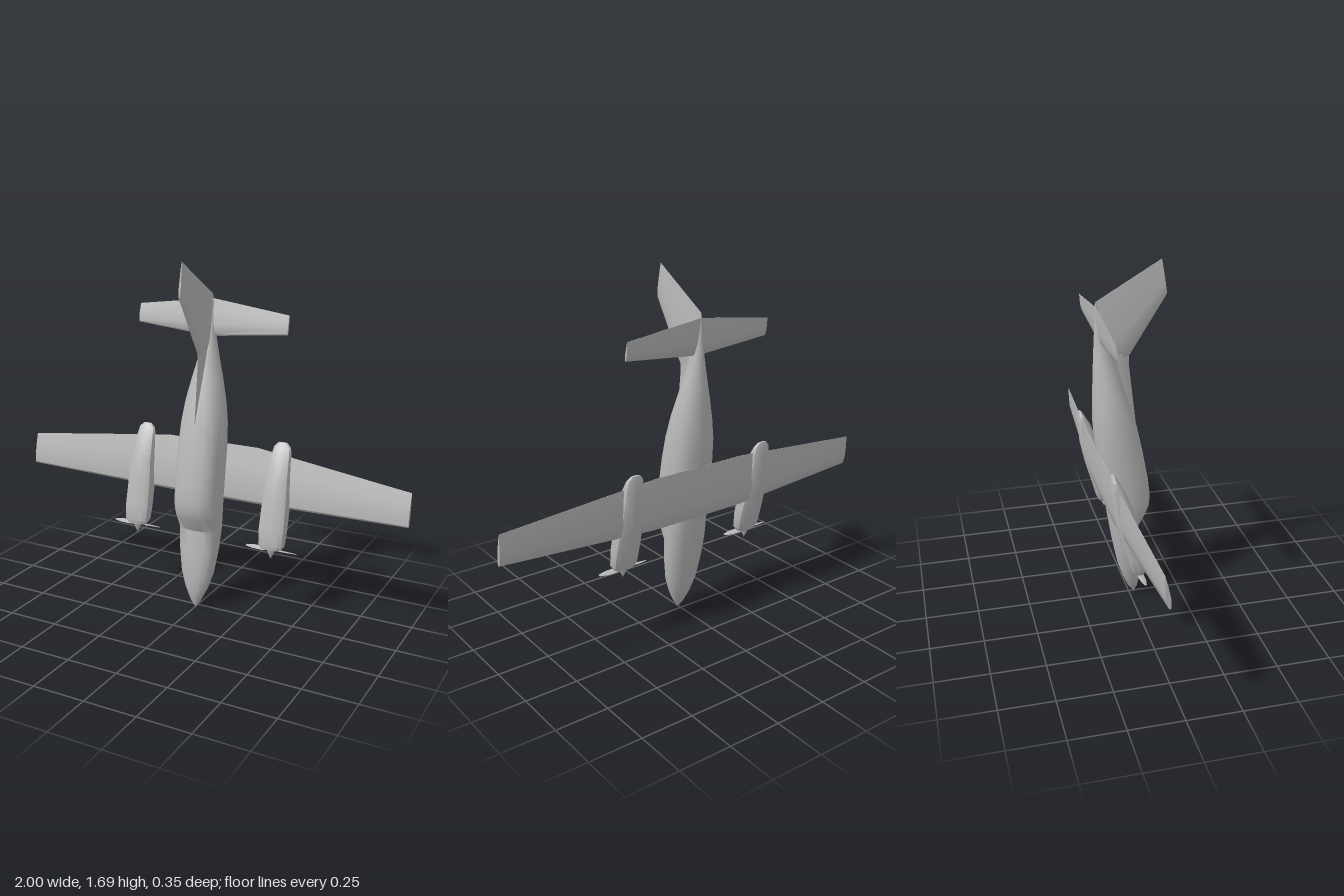
import * as THREE from 'three';
import { toCreasedNormals } from 'three/addons/utils/BufferGeometryUtils.js';

const paint = new THREE.MeshStandardMaterial({ color: 0xb8b8b8 });
paint.name = 'light grey';

// Skin a list of rings (arrays of [x, y, z]), close both ends and face outwards
function loft(rings, crease = 0.6) {
  const n = rings[0].length;
  const tris = [];
  const mid = (r) => [0, 1, 2].map((k) => r.reduce((s, p) => s + p[k], 0) / n);
  for (let i = 0; i < rings.length - 1; i++) {
    for (let j = 0; j < n; j++) {
      const k = (j + 1) % n;
      const [a, b, c, d] = [rings[i][j], rings[i][k], rings[i + 1][k], rings[i + 1][j]];
      tris.push([a, b, c], [a, c, d]);
    }
  }
  const first = rings[0], last = rings[rings.length - 1];
  const m0 = mid(first), m1 = mid(last);
  for (let j = 0; j < n; j++) {
    const k = (j + 1) % n;
    tris.push([m0, first[k], first[j]], [m1, last[j], last[k]]);
  }
  // Signed volume about the first cap tells which way the faces turn
  let volume = 0;
  const v = (p) => new THREE.Vector3(...p).sub(new THREE.Vector3(...m0));
  for (const [a, b, c] of tris) volume += v(a).dot(v(b).cross(v(c)));
  if (volume < 0) tris.forEach((t) => t.reverse());
  const geo = new THREE.BufferGeometry();
  geo.setAttribute('position', new THREE.Float32BufferAttribute(tris.flat(2), 3));
  return toCreasedNormals(geo, crease);
}

// Rounded body section: height y, half width, top z, bottom z, squareness
function bodyRing([y, w, top, bottom, power], cx = 0, sides = 16) {
  const cz = (top + bottom) / 2, h = (top - bottom) / 2;
  const bend = (t) => Math.sign(t) * Math.abs(t) ** (2 / power);
  return Array.from({ length: sides }, (_, i) => {
    const a = (i / sides) * Math.PI * 2;
    return [cx + w * bend(Math.cos(a)), y, cz + h * bend(Math.sin(a))];
  });
}

// Airfoil: [fraction of chord, fraction of half thickness]
const AIRFOIL = [[0, 0], [0.05, 0.6], [0.3, 1], [0.65, 0.65], [1, 0.05],
  [1, -0.05], [0.65, -0.65], [0.3, -1], [0.05, -0.6]];

// Flat-lying wing section
const wingRing = ([x, yLead, yTrail, zLead, zTrail, thick]) => AIRFOIL.map(([c, t]) => [
  x, yLead + (yTrail - yLead) * c, zLead + (zTrail - zLead) * c + (t * thick) / 2]);

// Upright fin section
const finRing = ([yLead, zLead, yTrail, zTrail, thick]) => AIRFOIL.map(([c, t]) => [
  (t * thick) / 2, yLead + (yTrail - yLead) * c, zLead + (zTrail - zLead) * c]);

function part(name, geometry) {
  const mesh = new THREE.Mesh(geometry, paint);
  mesh.name = name;
  return mesh;
}

// Mirror half-span sections into a full span
const span = (half) => [
  ...half.slice().reverse().map(([x, ...rest]) => [-x, ...rest]), ...half].map(wingRing);

// Engine pod with its spinner and two-bladed propeller
function createEngine(side) {
  const engine = new THREE.Group();
  engine.name = side > 0 ? 'leftEngine' : 'rightEngine';
  const cx = side * 0.364;
  const sections = [
    [0.355, 0.05, -0.018, -0.075, 2.6],
    [0.375, 0.064, -0.014, -0.085, 3],
    [0.45, 0.068, -0.022, -0.105, 3],
    [0.58, 0.065, -0.048, -0.142, 3],
    [0.68, 0.058, -0.07, -0.163, 3],
    [0.78, 0.05, -0.112, -0.17, 2.8],
    [0.825, 0.042, -0.138, -0.169, 2.6],
    [0.845, 0.022, -0.152, -0.165, 2.4],
  ];
  engine.add(part('nacelle', loft(sections.map((s) => bodyRing(s, cx, 12)))));

  const spinner = part('spinner', toCreasedNormals(
    new THREE.LatheGeometry([[0, -0.055], [0.012, -0.03], [0.023, 0], [0.024, 0.012], [0, 0.012]]
      .map(([r, y]) => new THREE.Vector2(r, y)), 10), 0.7));
  spinner.position.set(cx, 0.36, -0.043);
  engine.add(spinner);

  for (const dir of [-1, 1]) {
    const rings = [[0, 0.008, 0.008], [0.04, 0.016, 0.008], [0.09, 0.015, 0.006], [0.128, 0.006, 0.003]]
      .map(([r, chord, thick]) => [[chord, 0], [0, thick], [-chord, 0], [0, -thick]]
        .map(([z, y]) => [cx + dir * r, 0.352 + y * 0.6 + dir * z * 0.25, -0.043 + z]));
    engine.add(part('propellerBlade', loft(rings)));
  }
  return engine;
}

export function createModel() {
  const plane = new THREE.Group();
  plane.name = 'airplane';

  // Fuselage from nose (bottom) to tail (top), with a stepped windscreen
  const fuselage = [
    [0.005, 0.002, 0.027, 0.023, 2],
    [0.04, 0.026, 0.042, -0.003, 2.1],
    [0.1, 0.055, 0.052, -0.03, 2.2],
    [0.18, 0.08, 0.057, -0.056, 2.3],
    [0.3, 0.097, 0.047, -0.08, 2.5],
    [0.405, 0.104, 0.036, -0.096, 2.6],
    [0.47, 0.108, 0.076, -0.107, 2.7],
    [0.51, 0.11, 0.092, -0.113, 2.7],
    [0.56, 0.11, 0.097, -0.12, 2.7],
    [0.65, 0.111, 0.087, -0.132, 2.7],
    [0.8, 0.111, 0.06, -0.155, 2.6],
    [0.92, 0.107, 0.035, -0.168, 2.4],
    [1.02, 0.096, 0.008, -0.169, 2.2],
    [1.12, 0.076, -0.024, -0.168, 2],
    [1.22, 0.051, -0.056, -0.165, 1.9],
    [1.33, 0.026, -0.094, -0.16, 1.8],
    [1.43, 0.012, -0.126, -0.154, 1.8],
    [1.505, 0.003, -0.145, -0.15, 1.8],
  ];
  plane.add(part('fuselage', loft(fuselage.map((s) => bodyRing(s)))));

  // Main wing with a straight centre section and raised tapered tips
  plane.add(part('mainWing', loft(span([
    [0.24, 0.535, 0.802, -0.118, -0.153, 0.04],
    [1, 0.565, 0.72, -0.078, -0.1, 0.022],
  ]))));

  // Tailplane
  plane.add(part('tailplane', loft(span([
    [0.004, 1.32, 1.492, -0.126, -0.15, 0.022],
    [0.385, 1.355, 1.442, -0.13, -0.146, 0.013],
  ]))));

  // Swept fin and the low ridge leading into it
  plane.add(part('tailFin', loft([
    [1.2, -0.08, 1.5, -0.152, 0.026],
    [1.25, 0, 1.515, -0.148, 0.024],
    [1.53, 0.176, 1.69, 0.151, 0.01],
  ].map(finRing))));
  plane.add(part('dorsalRidge', loft([
    [0.9, 0.037, 0.03, 0.002],
    [1.22, 0.001, -0.07, 0.01],
    [1.265, 0.004, -0.08, 0.01],
  ].map(([y, top, bottom, w]) => [
    [0, y, top], [w, y, (top + bottom) / 2], [w, y, bottom], [-w, y, bottom], [-w, y, (top + bottom) / 2]]))));

  plane.add(createEngine(1), createEngine(-1));
  return plane;
}
